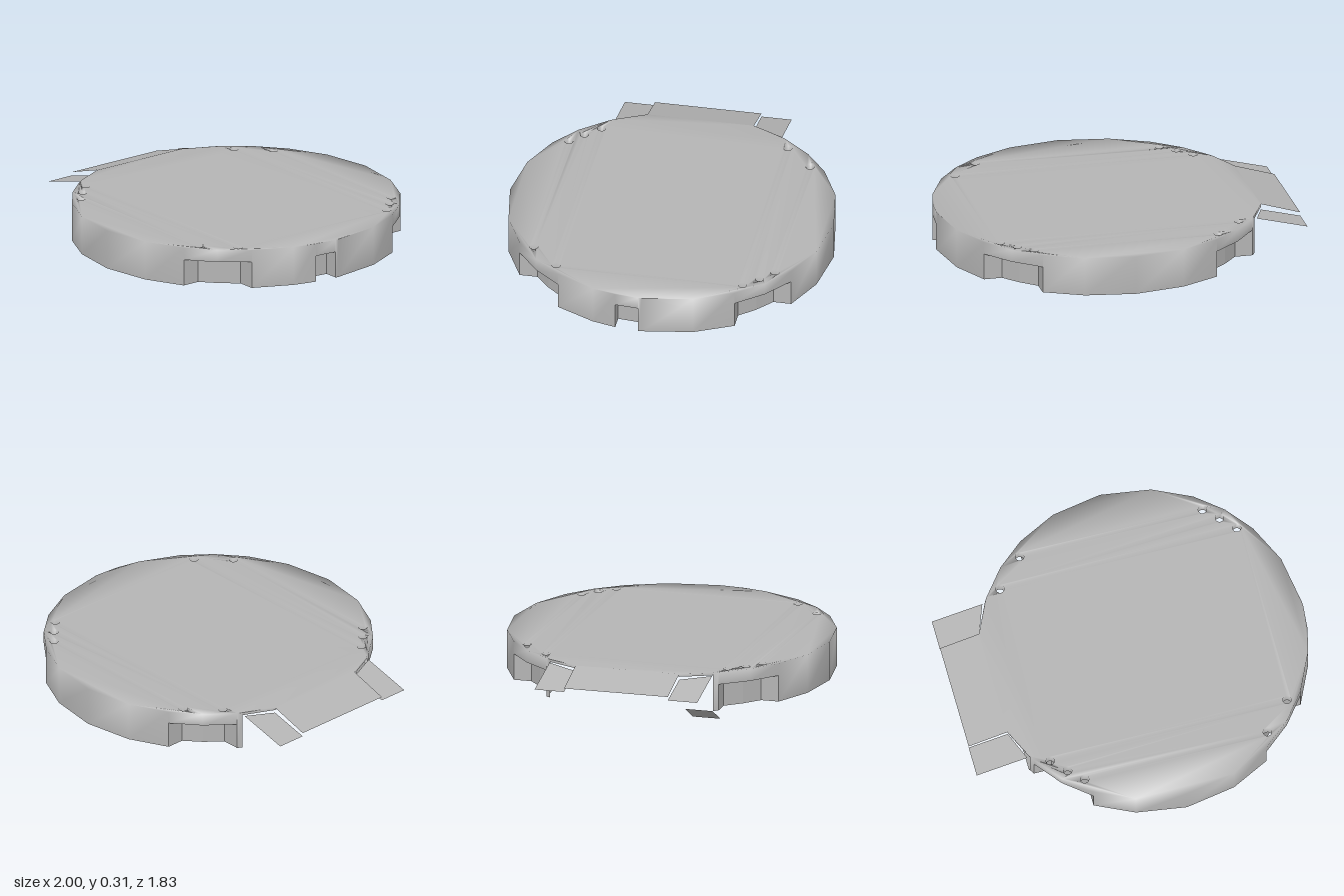
import * as THREE from 'three';
import { mergeGeometries, mergeVertices } from 'three/addons/utils/BufferGeometryUtils.js';

const CX = 0.087, R = 0.913, INNER = 0.83;
const TOP = 0.305, BASE = 0.085, CEIL = 0.235, LIP = 0.29;
const HOLE = 0.024;

// Point on a circle about the cover's centre; the angle runs from +x towards +z.
const polar = (deg, r = R) => {
  const a = THREE.MathUtils.degToRad(deg);
  return [CX + r * Math.cos(a), r * Math.sin(a)];
};

// Geometry from a list of four-cornered faces.
function quads(list) {
  const pos = [];
  for (const [a, b, c, d] of list) pos.push(...a, ...b, ...c, ...a, ...c, ...d);
  const g = new THREE.BufferGeometry();
  g.setAttribute('position', new THREE.Float32BufferAttribute(pos, 3));
  g.computeVertexNormals();
  return g;
}

// Upright strip of faces along a path of [x, z] points.
function strip(path, bottom, top) {
  const faces = [];
  for (let i = 0; i < path.length - 1; i++) {
    const [x1, z1] = path[i], [x2, z2] = path[i + 1];
    faces.push([[x2, bottom, z2], [x1, bottom, z1], [x1, top, z1], [x2, top, z2]]);
  }
  return faces;
}

// Level plate with round holes, facing up or down.
function plate(outline, holes, y, up) {
  const s = up ? -1 : 1;
  const toVectors = (pts) => pts.map(([x, z]) => new THREE.Vector2(x, s * z));
  const shape = new THREE.Shape(toVectors(outline));
  for (const h of holes) shape.holes.push(new THREE.Path(toVectors(h)));
  let g = new THREE.ShapeGeometry(shape);
  g.rotateX(up ? -Math.PI / 2 : Math.PI / 2).translate(0, y, 0);
  g = g.toNonIndexed();
  g.deleteAttribute('uv');
  return g;
}

// Shares corner normals across adjoining faces.
function smooth(parts) {
  const g = mergeGeometries(parts);
  g.deleteAttribute('normal');
  const merged = mergeVertices(g, 1e-4);
  merged.computeVertexNormals();
  return merged;
}

const ring = ([x, z]) => Array.from({ length: 13 }, (_, i) => {
  const a = (i % 12) * Math.PI / 6;
  return [x + HOLE * Math.cos(a), z + HOLE * Math.sin(a)];
});

export function createModel() {
  const group = new THREE.Group();
  const grey = new THREE.MeshStandardMaterial({ color: 0xb4b4b4, side: THREE.DoubleSide });
  grey.name = 'plain grey';
  const add = (name, geometry) => {
    const mesh = new THREE.Mesh(geometry, grey);
    mesh.name = name;
    group.add(mesh);
  };

  // Corner recesses, two opposite ones with a third screw hole
  const corners = [[1, 1, false], [-1, 1, true], [-1, -1, false], [1, -1, true]].map(([sx, sz, third]) => {
    const centres = [[0.525, 0.68], [0.68, 0.525]];
    if (third) centres.push([0.603, 0.607]);
    return { sx, sz, rings: centres.map(([x, z]) => ring([CX + sx * x, sz * z])) };
  });
  const allRings = corners.flatMap((c) => c.rings);

  // Cover: top plate, outer wall with openings, and screw hole sleeves
  const angles = [0, 1.3, 9.5, 18, 33, 45, 57, 72, 90, 108, 123, 135, 147, 149, 160.8,
    199.2, 211, 213, 225, 237, 252, 270, 288, 303, 315, 327, 342, 360];
  const wall = [];
  for (let i = 0; i < angles.length - 1; i++) {
    const mid = (angles[i] + angles[i + 1]) / 2;
    const fold = Math.abs((mid % 180) - 90);
    const recessed = (fold > 33 && fold < 57) || (mid > 1.3 && mid < 9.5);
    const open = mid > 149 && mid < 211;
    const bottom = open ? LIP : recessed ? CEIL : BASE;
    wall.push(...strip([polar(angles[i]), polar(angles[i + 1])], bottom, TOP));
  }
  const sleeves = allRings.flatMap((r) => strip([...r].reverse(), CEIL, TOP));
  const outline = angles.slice(0, -1).map((a) => polar(a));
  add('cover', smooth([
    plate(outline, allRings.map((r) => r.slice(0, -1)), TOP, true),
    quads(wall), quads(sleeves),
  ]));

  // Recess: curved back wall, two ends and a ceiling
  const addRecess = (name, outer, inner, rings) => {
    const path = [outer[0], ...inner, outer[outer.length - 1]];
    add(name + 'Walls', quads(strip(path, BASE, CEIL)));
    add(name + 'Ceiling', plate([...outer, ...[...inner].reverse()],
      rings.map((r) => r.slice(0, -1)), CEIL, false));
  };
  for (const { sx, sz, rings } of corners) {
    const place = (a, r) => {
      const [x, z] = polar(a, r);
      return [CX + sx * (x - CX), sz * z];
    };
    const outer = [33, 45, 57].map((a) => place(a, R));
    const inner = [36.8, 45, 53.2].map((a) => place(a, INNER));
    if (sx * sz < 0) { outer.reverse(); inner.reverse(); }
    addRecess('cornerRecess', outer, inner, rings);
  }
  addRecess('sideRecess', [polar(1.3), polar(9.5)], [polar(1.4, INNER), polar(10.4, INNER)], []);

  // Sloping tab with a flap on either side
  add('middleTab', quads([[
    [-1, 0.235, -0.3], [-1, 0.235, 0.3], [-0.775, TOP, 0.3], [-0.775, TOP, -0.3],
  ]]));
  for (const s of [1, -1]) {
    const face = [
      [-1, 0.215, s * 0.3], [-1, 0.215, s * 0.47],
      [-0.71, LIP, s * 0.47], [-0.775, 0.273, s * 0.3],
    ];
    add('sideFlap', quads([s > 0 ? face : face.reverse()]));
  }

  // Foot slanting down and inward below the open side
  add('foot', quads([[
    [-0.7, BASE, 0.31], [-0.55, 0, 0.31], [-0.55, 0, 0.47], [-0.7, BASE, 0.47],
  ]]));

  return group;
}
